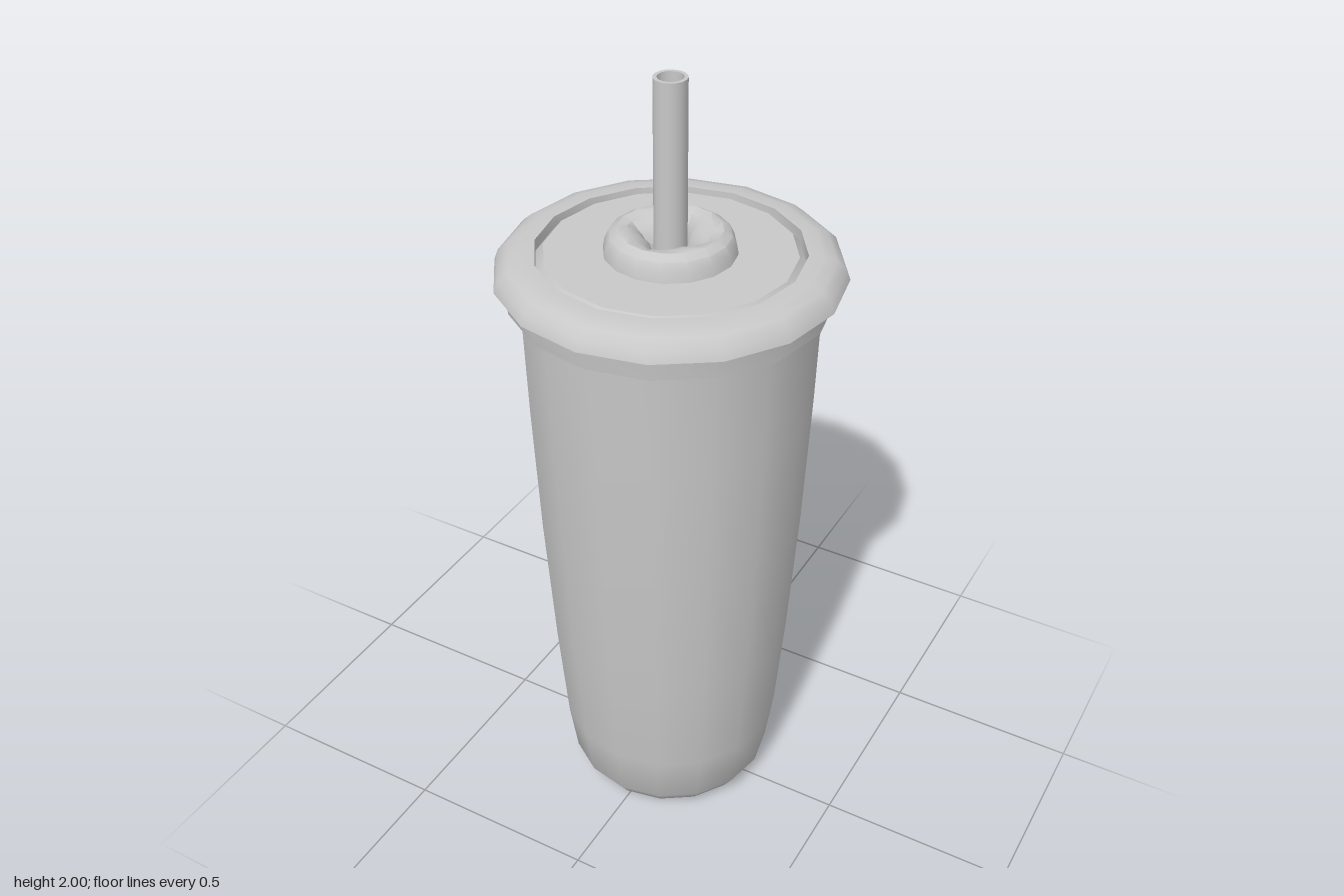
import * as THREE from 'three';
import { toCreasedNormals } from 'three/addons/utils/BufferGeometryUtils.js';

const grey = new THREE.MeshStandardMaterial({ color: 0xc8c8c8, side: THREE.DoubleSide });
grey.name = 'plain grey';

const SIDES = 16;

// Turned part from [radius, height] pairs, with an optional rule that moves each vertex
function turned(name, profile, rule) {
  const geo = new THREE.LatheGeometry(profile.map(([r, y]) => new THREE.Vector2(r, y)), SIDES);
  if (rule) {
    const p = geo.attributes.position;
    const v = new THREE.Vector3();
    for (let i = 0; i < p.count; i++) {
      rule(v.fromBufferAttribute(p, i));
      p.setXYZ(i, v.x, v.y, v.z);
    }
  }
  const mesh = new THREE.Mesh(toCreasedNormals(geo, 0.65), grey);
  mesh.name = name;
  return mesh;
}

// Pulls the inner edge of the dome into a four-pointed opening with creases on the axes
function crossSlit(v) {
  const r = Math.hypot(v.x, v.z);
  if (r > 0.11) return;
  const inward = (0.11 - r) / 0.07;
  const onAxis = Math.abs(Math.cos(2 * Math.atan2(v.x, v.z))) ** 3;
  const scale = (r + 0.028 * onAxis * inward) / r;
  v.x *= scale;
  v.z *= scale;
  v.y -= 0.014 * onAxis * Math.sin(Math.PI * Math.min(1, inward));
}

export function createModel() {
  const model = new THREE.Group();
  model.name = 'tumbler';

  // Tapered cup with a rounded foot
  model.add(turned('cup', [
    [0, 0], [0.2, 0], [0.24, 0.018], [0.268, 0.06], [0.288, 0.2],
    [0.31, 0.48], [0.332, 0.85], [0.346, 1.2], [0.354, 1.5],
  ]));

  // Lid: skirt, overhanging rounded brim, narrow groove and flat centre with a straw hole
  model.add(turned('lid', [
    [0.352, 1.476], [0.382, 1.476], [0.388, 1.535], [0.412, 1.535],
    [0.403, 1.56], [0.38, 1.58], [0.35, 1.589], [0.315, 1.59],
    [0.314, 1.562], [0.295, 1.584], [0.07, 1.584],
  ]));

  // Soft dome with the cross-shaped straw opening
  model.add(turned('strawDome', [
    [0.156, 1.584], [0.152, 1.607], [0.142, 1.629], [0.122, 1.641],
    [0.098, 1.641], [0.072, 1.63], [0.05, 1.61], [0.04, 1.58],
  ], crossSlit));

  // Hollow straw
  model.add(turned('straw', [
    [0.03, 0.15], [0.039, 0.15], [0.039, 2], [0.03, 2], [0.03, 0.15],
  ]));

  return model;
}
